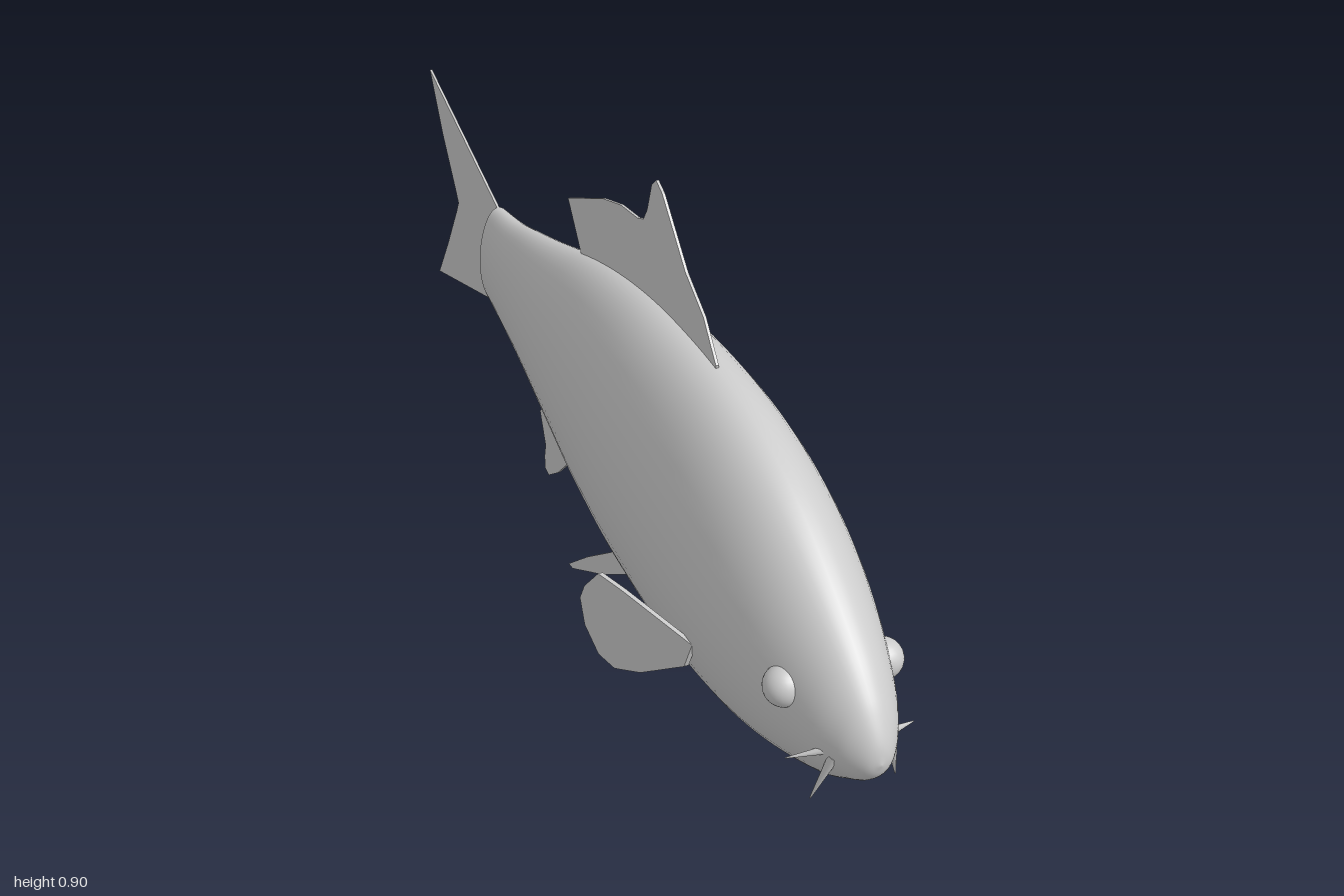
import * as THREE from 'three';

const grey = new THREE.MeshStandardMaterial({ color: 0xcccccc });
grey.name = 'pale grey';

function add(group, name, geometry) {
  const mesh = new THREE.Mesh(geometry, grey);
  mesh.name = name;
  group.add(mesh);
  return mesh;
}

// Body stations: z, top y, bottom y, half width
const STATIONS = [
  [1, 0.35, 0.345, 0.002], [0.993, 0.378, 0.323, 0.02], [0.975, 0.41, 0.301, 0.038],
  [0.95, 0.442, 0.283, 0.054], [0.9, 0.49, 0.251, 0.077], [0.8, 0.563, 0.21, 0.106],
  [0.7, 0.62, 0.18, 0.124], [0.6, 0.657, 0.162, 0.134], [0.5, 0.678, 0.152, 0.138],
  [0.4, 0.686, 0.149, 0.138], [0.3, 0.686, 0.149, 0.135], [0.2, 0.68, 0.152, 0.13],
  [0.1, 0.666, 0.159, 0.121], [0, 0.645, 0.17, 0.111], [-0.1, 0.617, 0.186, 0.099],
  [-0.2, 0.583, 0.201, 0.086], [-0.3, 0.55, 0.216, 0.073], [-0.4, 0.52, 0.23, 0.061],
  [-0.5, 0.492, 0.244, 0.051], [-0.6, 0.475, 0.255, 0.042],
];

// Slightly egg-shaped ring, fuller below the middle
function ring([z, top, bottom, width], sides) {
  const points = [];
  for (let i = 0; i < sides; i++) {
    const a = (i / sides) * Math.PI * 2;
    const s = Math.sin(a);
    points.push(width * Math.cos(a) * (1 - 0.09 * s), (top + bottom) / 2 + ((top - bottom) / 2) * s, z);
  }
  return points;
}

function indexed(positions, index) {
  const g = new THREE.BufferGeometry();
  g.setAttribute('position', new THREE.Float32BufferAttribute(positions, 3));
  g.setIndex(index);
  g.computeVertexNormals();
  return g;
}

function bodyGeometry(sides, rows) {
  const heights = new THREE.CatmullRomCurve3(STATIONS.map(s => new THREE.Vector3(s[0], s[1], s[2])), false, 'catmullrom');
  const widths = new THREE.CatmullRomCurve3(STATIONS.map(s => new THREE.Vector3(s[0], s[3], 0)), false, 'catmullrom');
  const positions = [], index = [];
  for (let r = 0; r <= rows; r++) {
    const h = heights.getPoint(r / rows), w = widths.getPoint(r / rows);
    positions.push(...ring([Math.min(h.x, 1), h.y, h.z, w.y], sides));
    if (r === rows) break;
    for (let i = 0; i < sides; i++) {
      const j = (i + 1) % sides, a = r * sides, b = a + sides;
      index.push(a + i, b + i, b + j, a + i, b + j, a + j);
    }
  }
  // Nose fan
  for (let i = 1; i < sides - 1; i++) index.push(0, i, i + 1);
  return indexed(positions, index);
}

function tailCapGeometry(sides) {
  const index = [];
  for (let i = 1; i < sides - 1; i++) index.push(0, i + 1, i);
  return indexed(ring(STATIONS[STATIONS.length - 1], sides), index);
}

// Thin plate outlined in (z, y); x follows x0 + slope * (z0 - z)
function finGeometry(outline, thickness, x0 = 0, slope = 0, z0 = 0) {
  const shape = new THREE.Shape(outline.map(p => new THREE.Vector2(p[0], p[1])));
  const g = new THREE.ExtrudeGeometry(shape, { depth: thickness, bevelEnabled: false });
  g.translate(0, 0, -thickness / 2).rotateY(-Math.PI / 2);
  const p = g.attributes.position;
  for (let i = 0; i < p.count; i++) p.setX(i, p.getX(i) + x0 + slope * (z0 - p.getZ(i)));
  g.computeVertexNormals();
  return g;
}

const DORSAL = [
  [0.42, 0.66], [0.42, 0.69], [0.37, 0.75], [0.3, 0.793], [0.25, 0.843], [0.205, 0.888], [0.18, 0.9],
  [0.163, 0.885], [0.145, 0.83], [0.13, 0.806], [0.105, 0.796], [0.035, 0.786], [-0.045, 0.76],
  [-0.21, 0.682], [-0.147, 0.598], [-0.1, 0.56], [0.1, 0.6],
];
const TAIL = [
  [-0.59, 0.472], [-1, 0.605], [-0.93, 0.485], [-0.86, 0.39], [-0.845, 0.367],
  [-0.86, 0.34], [-0.93, 0.228], [-1, 0.125], [-0.59, 0.258],
];
const ANAL = [
  [-0.13, 0.23], [-0.155, 0.19], [-0.24, 0.085], [-0.285, 0.04], [-0.335, 0.003], [-0.355, 0.008],
  [-0.357, 0.035], [-0.35, 0.065], [-0.378, 0.13], [-0.31, 0.192], [-0.3, 0.24],
];
const PECTORAL = [
  [0.625, 0.327], [0.61, 0.275], [0.52, 0.205], [0.465, 0.179], [0.43, 0.187], [0.4, 0.23],
  [0.39, 0.28], [0.4, 0.31], [0.43, 0.352], [0.48, 0.348],
];
const PELVIC = [
  [0.24, 0.17], [0.22, 0.15], [0.17, 0.122], [0.115, 0.09], [0.045, 0.064], [0.036, 0.07],
  [0.08, 0.11], [0.14, 0.155], [0.15, 0.175],
];

// Tapered whisker running from base to tip
function barbel(group, name, base, tip, radius) {
  const from = new THREE.Vector3(...base), to = new THREE.Vector3(...tip);
  const dir = to.clone().sub(from);
  const mesh = add(group, name, new THREE.CylinderGeometry(0.001, radius, dir.length(), 12));
  mesh.position.copy(from).addScaledVector(dir, 0.5);
  mesh.quaternion.setFromUnitVectors(new THREE.Vector3(0, 1, 0), dir.normalize());
}

export function createModel() {
  const fish = new THREE.Group();
  fish.name = 'fish';

  add(fish, 'body', bodyGeometry(48, 76));
  add(fish, 'tailCap', tailCapGeometry(48));
  add(fish, 'dorsalFin', finGeometry(DORSAL, 0.005));
  add(fish, 'tailFin', finGeometry(TAIL, 0.005));
  add(fish, 'analFin', finGeometry(ANAL, 0.005));

  // Paired parts
  for (const [side, s] of [['left', 1], ['right', -1]]) {
    add(fish, side + 'PectoralFin', finGeometry(PECTORAL, 0.008, s * 0.13, s * 0.4, 0.61));
    add(fish, side + 'PelvicFin', finGeometry(PELVIC, 0.008, s * 0.02, s * 0.44, 0.22));
    const eye = add(fish, side + 'Eye', new THREE.SphereGeometry(0.033, 24, 16));
    eye.position.set(s * 0.081, 0.403, 0.845);
    barbel(fish, side + 'UpperBarbel', [s * 0.05, 0.343, 0.935], [s * 0.106, 0.322, 0.907], 0.007);
    barbel(fish, side + 'LowerBarbel', [s * 0.047, 0.337, 0.945], [s * 0.071, 0.247, 0.925], 0.009);
  }
  return fish;
}
